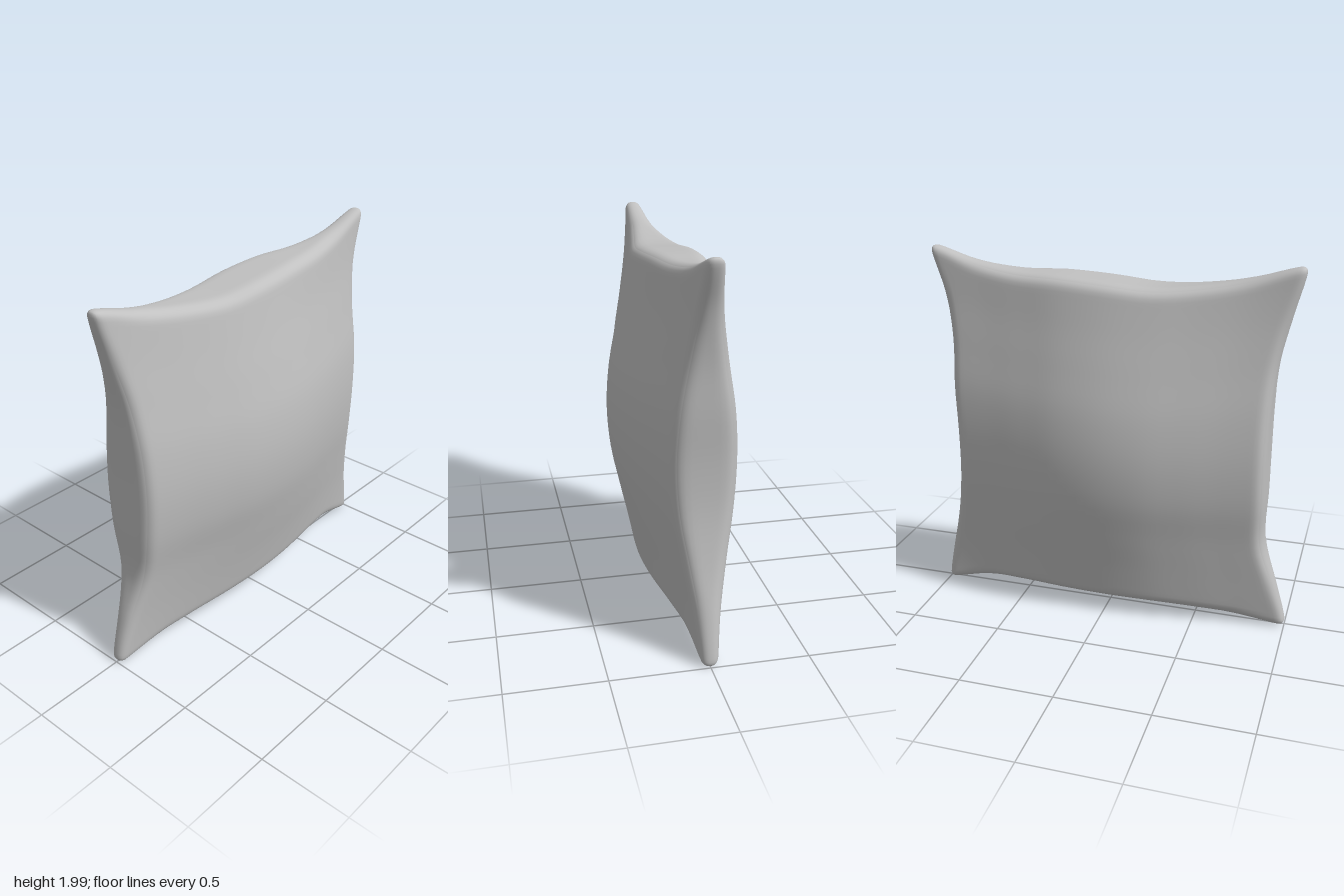
import * as THREE from 'three';
import { mergeVertices } from 'three/addons/utils/BufferGeometryUtils.js';

// Smooth curve through evenly spaced values, sampled at t in -1..1
function curve(values) {
  const spline = new THREE.SplineCurve(values.map((v, i) => new THREE.Vector2(i, v)));
  return t => spline.getPoint(THREE.MathUtils.clamp((t + 1) / 2, 0, 1)).y;
}

// Outline of the four sides, pinched out into the corners
const rightEdge = curve([1.005, 0.96, 0.90, 0.86, 0.853, 0.868, 0.88, 0.925, 1.002]);
const leftEdge = curve([-1.005, -0.94, -0.865, -0.863, -0.862, -0.866, -0.885, -0.94, -0.998]);
const topEdge = curve([1.992, 1.925, 1.877, 1.856, 1.875, 1.89, 1.893, 1.93, 2.002]);
const bottomEdge = curve([0.003, 0.035, 0.06, 0.08, 0.087, 0.085, 0.075, 0.055, -0.002]);

// Half thickness along any side, and the stuffed thickness inside
const rim = curve([0.042, 0.062, 0.1, 0.14, 0.155, 0.14, 0.1, 0.062, 0.042]);
const bulge = t => 1 - Math.abs(t) ** 3;
const halfThickness = (u, v) => rim(u) + rim(v) - 0.042 + 0.045 * bulge(u) * bulge(v);

function cushionGeometry() {
  const box = new THREE.BoxGeometry(2, 2, 2, 48, 48, 14);
  box.deleteAttribute('normal');
  box.deleteAttribute('uv');
  const geometry = mergeVertices(box);
  const pos = geometry.attributes.position;
  const q = new THREE.Vector3(), inner = new THREE.Vector3();
  const { lerp, clamp } = THREE.MathUtils;
  const crowd = t => Math.sin(t * Math.PI / 2); // more rows near the edges

  for (let i = 0; i < pos.count; i++) {
    const u = crowd(pos.getX(i)), v = crowd(pos.getY(i));
    const h = halfThickness(u, v);
    q.set(u, v, crowd(pos.getZ(i)) * h);

    // Round the edges of the slab
    const r = Math.min(0.065, h * 0.9);
    inner.set(clamp(u, r - 1, 1 - r), clamp(v, r - 1, 1 - r), clamp(q.z, r - h, h - r));
    q.sub(inner).setLength(r).add(inner);

    // Stretch the square to the pinched outline
    pos.setXYZ(i,
      lerp(leftEdge(q.y), rightEdge(q.y), (q.x + 1) / 2),
      lerp(bottomEdge(q.x), topEdge(q.x), (q.y + 1) / 2),
      q.z);
  }
  geometry.computeVertexNormals();

  // Rest on the ground
  geometry.computeBoundingBox();
  geometry.translate(0, -geometry.boundingBox.min.y, 0);
  return geometry;
}

export function createModel() {
  const fabric = new THREE.MeshStandardMaterial({ color: 0xc0c0c0 });
  fabric.name = 'grey fabric';

  const cushion = new THREE.Mesh(cushionGeometry(), fabric);
  cushion.name = 'cushion';

  const model = new THREE.Group();
  model.name = 'pillow';
  model.add(cushion);
  return model;
}
